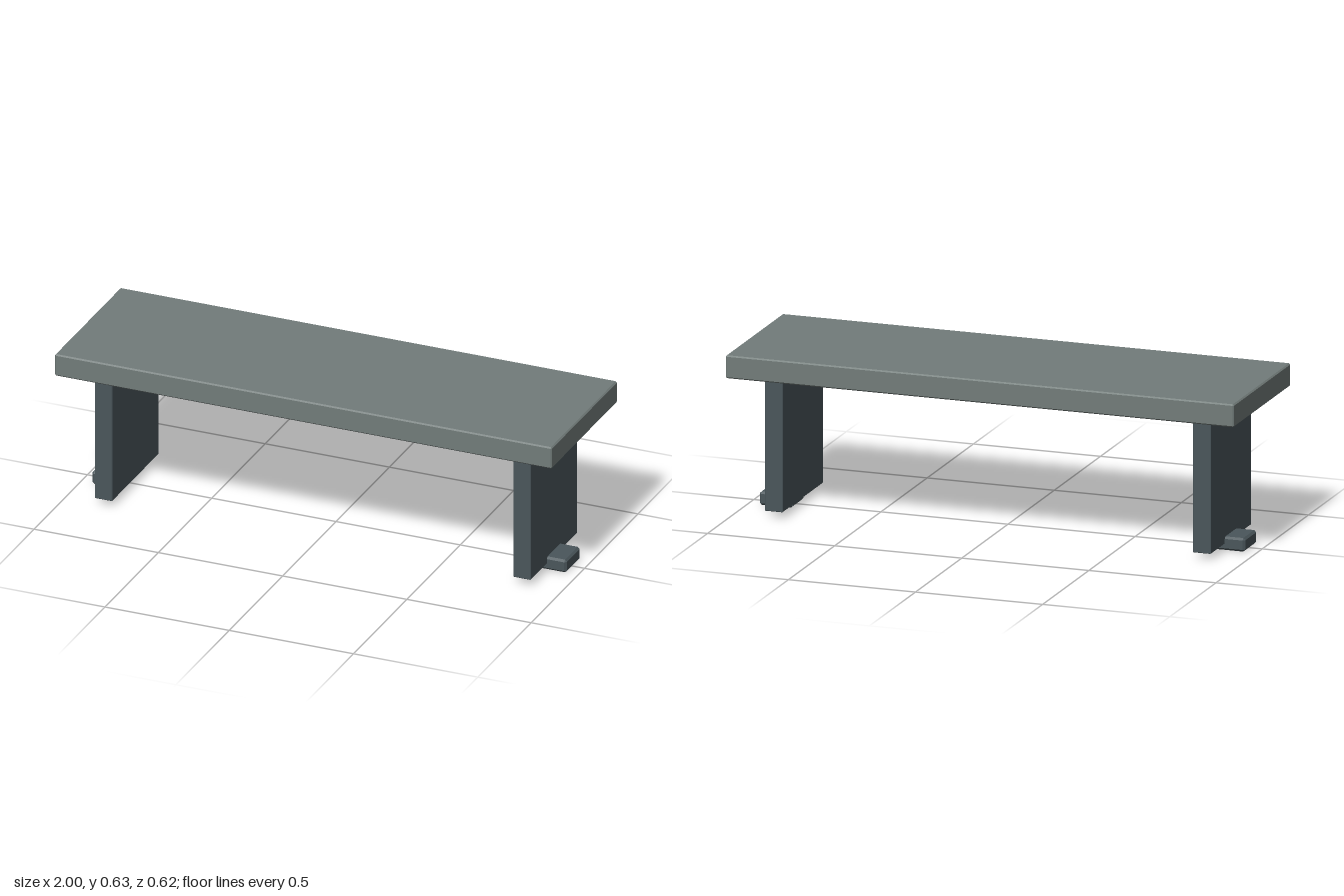
import * as THREE from 'three';
import { ConvexGeometry } from 'three/addons/geometries/ConvexGeometry.js';

// Box with every edge cut by a flat chamfer c; three points per corner.
function chamferBox(w, h, d, c) {
  const pts = [];
  for (const sx of [-1, 1]) for (const sy of [-1, 1]) for (const sz of [-1, 1]) {
    const x = sx * w / 2, y = sy * h / 2, z = sz * d / 2;
    pts.push(
      new THREE.Vector3(x, y - sy * c, z - sz * c),
      new THREE.Vector3(x - sx * c, y, z - sz * c),
      new THREE.Vector3(x - sx * c, y - sy * c, z)
    );
  }
  return new ConvexGeometry(pts);
}

export function createModel() {
  const model = new THREE.Group();
  model.name = 'bench';

  const seatMaterial = new THREE.MeshStandardMaterial({ color: 0x727c7a });
  seatMaterial.name = 'grey slab';
  const legMaterial = new THREE.MeshStandardMaterial({ color: 0x4a565b });
  legMaterial.name = 'dark slate';

  const add = (name, geometry, material, x, y) => {
    const mesh = new THREE.Mesh(geometry, material);
    mesh.name = name;
    mesh.position.set(x, y, 0);
    model.add(mesh);
  };

  // Long seat slab
  add('seat', chamferBox(2, 0.088, 0.616, 0.005), seatMaterial, 0, 0.589);

  // Panel legs, each with a small foot sticking outwards
  const legGeometry = chamferBox(0.07, 0.525, 0.436, 0.002);
  const footGeometry = chamferBox(0.13, 0.052, 0.134, 0.008);
  for (const [side, s] of [['left', 1], ['right', -1]]) {
    add(side + 'Leg', legGeometry, legMaterial, s * 0.842, 0.2875);
    add(side + 'Foot', footGeometry, legMaterial, s * 0.89, 0.026);
  }
  return model;
}
